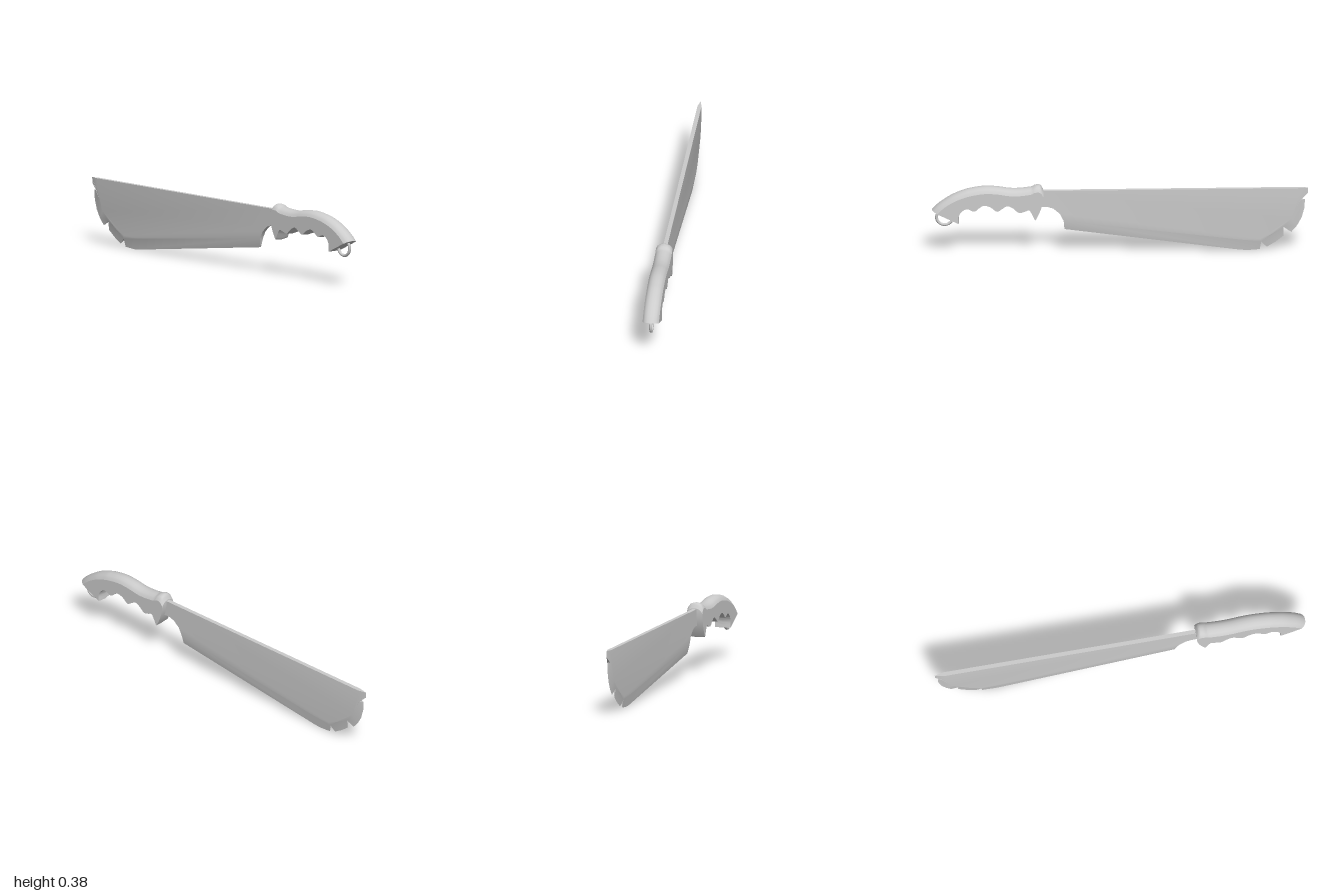
import * as THREE from 'three';
import { toCreasedNormals } from 'three/addons/utils/BufferGeometryUtils.js';

const material = new THREE.MeshStandardMaterial({ color: 0xcccccc });

function makeMesh(name, positions, crease) {
  const geometry = new THREE.BufferGeometry();
  geometry.setAttribute('position', new THREE.Float32BufferAttribute(positions.flat(), 3));
  const mesh = new THREE.Mesh(toCreasedNormals(geometry, crease), material);
  mesh.name = name;
  return mesh;
}

// Blade: points are [z, y, half thickness]
function createBlade() {
  const T = 0.011;
  const back = [
    [0.295, 0.13, 0], [0.30, 0.18, T], [0.32, 0.22, T], [0.355, 0.25, T],
    [0.385, 0.26, T], [0.43, 0.26, T], [0.43, 0.35, T], [-0.95, 0.35, T], [-1, 0.35, 0],
  ];
  // cutting edge with its nicks, from the tip back to the heel
  const edge = [
    [-1, 0.35, 0], [-0.998, 0.318, 0], [-0.963, 0.285, 0.008], [-0.983, 0.285, 0],
    [-0.98, 0.235, 0], [-0.965, 0.18, 0], [-0.94, 0.135, 0], [-0.91, 0.10, 0],
    [-0.87, 0.13, 0.007], [-0.87, 0.08, 0], [-0.825, 0.045, 0], [-0.78, 0.018, 0],
    [-0.75, 0.05, 0.008], [-0.743, 0.005, 0], [-0.675, 0, 0], [-0.63, 0.004, 0], [0.295, 0.13, 0],
  ];
  // line where the bevel begins, from the heel to the tip
  const bevel = [
    [0.30, 0.18, T], [-0.63, 0.065, T], [-0.745, 0.066, T], [-0.80, 0.09, T],
    [-0.87, 0.15, T], [-0.91, 0.18, T], [-0.935, 0.24, T], [-0.95, 0.30, T], [-0.95, 0.35, T],
  ];
  const core = [...back.slice(1, 8), ...bevel.slice(1, -1).reverse()];
  const rim = [...bevel, ...edge];
  const out = [];
  const at = ([z, y, h], side) => [side * h, y, z];

  // both flat sides
  for (const loop of [core, rim]) {
    const contour = loop.map(([z, y]) => new THREE.Vector2(z, y));
    for (const tri of THREE.ShapeUtils.triangulateShape(contour, [])) {
      const area = THREE.ShapeUtils.area(tri.map(i => contour[i]));
      const [a, b, c] = (area < 0 ? tri : [tri[0], tri[2], tri[1]]).map(i => loop[i]);
      out.push(...at(a, 1), ...at(b, 1), ...at(c, 1), ...at(a, -1), ...at(c, -1), ...at(b, -1));
    }
  }
  // walls around the outline
  const outline = [...back, ...edge.slice(1, -1)];
  const ccw = THREE.ShapeUtils.area(outline.map(([z, y]) => new THREE.Vector2(z, y))) > 0;
  outline.forEach((p, i) => {
    const next = outline[(i + 1) % outline.length];
    const [a, b] = ccw ? [p, next] : [next, p];
    if (a[2] + b[2] === 0) return;
    out.push(...at(a, 1), ...at(b, 1), ...at(b, -1), ...at(a, 1), ...at(b, -1), ...at(a, -1));
  });
  return makeMesh('blade', out, 0.5);
}

// Handle: stations from butt to guard as [top z, top y, bottom z, bottom y]
function createHandle() {
  const stations = [
    [1.0, 0.25, 0.855, 0.178], [0.975, 0.275, 0.855, 0.215], [0.94, 0.302, 0.84, 0.245],
    [0.89, 0.333, 0.81, 0.26], [0.83, 0.358, 0.775, 0.245], [0.79, 0.368, 0.75, 0.262],
    [0.75, 0.375, 0.725, 0.277], [0.71, 0.378, 0.69, 0.268], [0.67, 0.376, 0.655, 0.243],
    [0.635, 0.372, 0.63, 0.256], [0.60, 0.366, 0.60, 0.273], [0.565, 0.363, 0.57, 0.26],
    [0.53, 0.364, 0.54, 0.235], [0.50, 0.367, 0.51, 0.24], [0.468, 0.372, 0.487, 0.248],
    [0.45, 0.381, 0.472, 0.23], [0.425, 0.381, 0.456, 0.195], [0.408, 0.355, 0.452, 0.193],
  ];
  const curve = k => new THREE.CatmullRomCurve3(
    stations.map(s => new THREE.Vector3(0, s[k + 1], s[k])), false, 'catmullrom', 0.5);
  const topCurve = curve(0), bottomCurve = curve(2);
  const steps = 85, rows = [];

  for (let i = 0; i <= steps; i++) {
    const t = i / steps;
    const top = topCurve.getPoint(t), bottom = bottomCurve.getPoint(t);
    const length = top.distanceTo(bottom);
    // rounded top, flat sides, shallow ridge underneath: [x, distance from top]
    const half = [[0, 0], [0.016, 0.0025], [0.03, 0.0095], [0.038, 0.019], [0.044, 0.03]];
    for (let j = 1; j <= 5; j++) half.push([0.044, 0.03 + (length - 0.035) * j / 5]);
    half.push([0, length]);
    const section = [...half, ...half.slice(1, -1).reverse().map(([x, d]) => [-x, d])];
    const bow = 0.013 * THREE.MathUtils.smoothstep(t, 0.9, 1);
    rows.push(section.map(([x, d]) => {
      const f = d / length;
      const p = top.clone().lerp(bottom, f);
      return [x, p.y, p.z - bow * 4 * f * (1 - f)];
    }));
  }

  const out = [], n = rows[0].length;
  for (let i = 0; i < steps; i++) {
    for (let j = 0; j < n; j++) {
      const k = (j + 1) % n;
      const a = rows[i][j], b = rows[i][k], c = rows[i + 1][k], d = rows[i + 1][j];
      out.push(...a, ...b, ...d, ...b, ...c, ...d);
    }
  }
  // end caps, as strips between the left and right sides
  const cap = (row, flip) => {
    const tri = (a, b, c) => out.push(...a, ...(flip ? c : b), ...(flip ? b : c));
    for (let j = 0; j < n / 2; j++) {
      const a = row[j], b = row[j + 1], c = row[n - j - 1], d = row[(n - j) % n];
      if (j < n / 2 - 1) tri(a, b, c);
      if (j > 0) tri(a, j < n / 2 - 1 ? c : b, d);
    }
  };
  cap(rows[0], true);
  cap(rows[steps], false);
  return makeMesh('handle', out, 0.45);
}

// Lanyard ring hanging from the butt
function createRing() {
  const ring = new THREE.Mesh(new THREE.TorusGeometry(0.043, 0.008, 8, 28), material);
  ring.name = 'lanyardRing';
  ring.rotation.y = Math.PI / 2;
  ring.position.set(0, 0.206, 0.932);
  return ring;
}

export function createModel() {
  const model = new THREE.Group();
  model.name = 'machete';
  model.add(createBlade(), createHandle(), createRing());
  return model;
}
